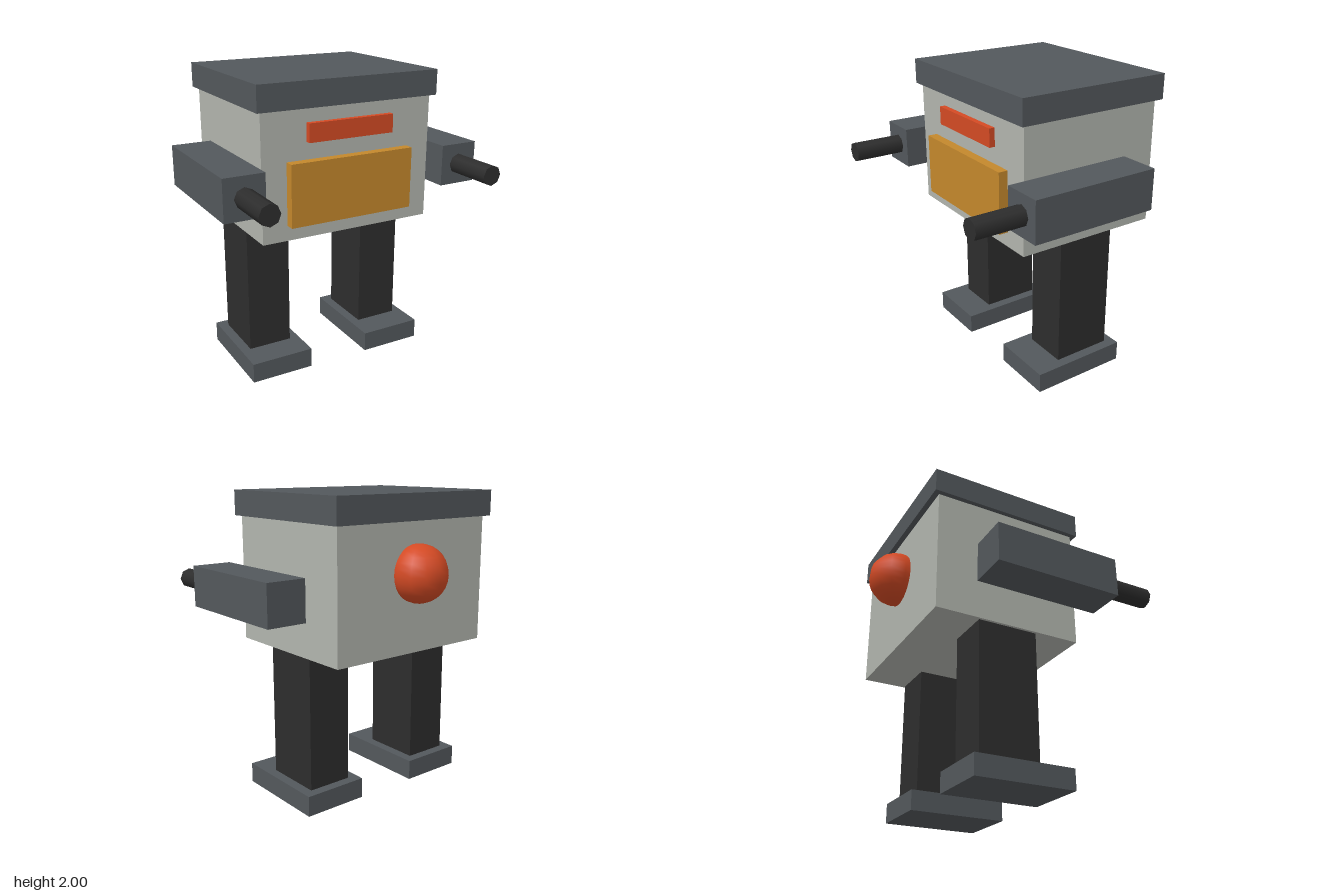
import * as THREE from 'three';

const mat = (name, color) => Object.assign(new THREE.MeshStandardMaterial({ color }), { name });

export function createModel() {
  const model = new THREE.Group();
  model.name = 'walkerRobot';

  const paleGrey = mat('paleGrey', 0xb2b5ae);
  const steel = mat('steelGrey', 0x53585c);
  const black = mat('charcoal', 0x2d2d2d);
  const amber = mat('amber', 0xc4882c);
  const red = mat('orangeRed', 0xd44a24);

  const add = (name, geometry, material, x, y, z) => {
    const mesh = new THREE.Mesh(geometry, material);
    mesh.name = name;
    mesh.position.set(x, y, z);
    model.add(mesh);
    return mesh;
  };

  // Box given by its lower and upper limits on each axis
  const box = (name, material, [x0, x1], [y0, y1], [z0, z1]) =>
    add(name, new THREE.BoxGeometry(x1 - x0, y1 - y0, z1 - z0), material,
      (x0 + x1) / 2, (y0 + y1) / 2, (z0 + z1) / 2);

  // Body, roof slab and front plates
  box('body', paleGrey, [-0.605, 0.605], [1.01, 1.835], [-0.625, 0.38]);
  box('roof', steel, [-0.637, 0.637], [1.835, 2], [-0.662, 0.412]);
  box('visor', red, [-0.3, 0.3], [1.625, 1.745], [0.34, 0.418]);
  box('chestPanel', amber, [-0.437, 0.437], [1.11, 1.515], [0.34, 0.443]);

  // Round lamp set into the back
  add('backLamp', new THREE.SphereGeometry(0.183, 12, 14), red, 0, 1.515, -0.662);

  // Mirrored legs, feet, arms and barrels
  for (const [side, s] of [['left', 1], ['right', -1]]) {
    const span = (a, b) => (s > 0 ? [a, b] : [-b, -a]);
    box(side + 'Foot', steel, span(0.218, 0.654), [0, 0.135], [-0.39, 0.28]);
    box(side + 'Leg', black, span(0.285, 0.587), [0.135, 1.01], [-0.325, 0.08]);
    box(side + 'Arm', steel, span(0.637, 0.905), [1.245, 1.515], [-0.362, 0.512]);
    const barrel = add(side + 'Barrel', new THREE.CylinderGeometry(0.067, 0.067, 0.365, 8),
      black, s * 0.77, 1.38, 0.665);
    barrel.rotation.x = Math.PI / 2;
  }

  return model;
}
